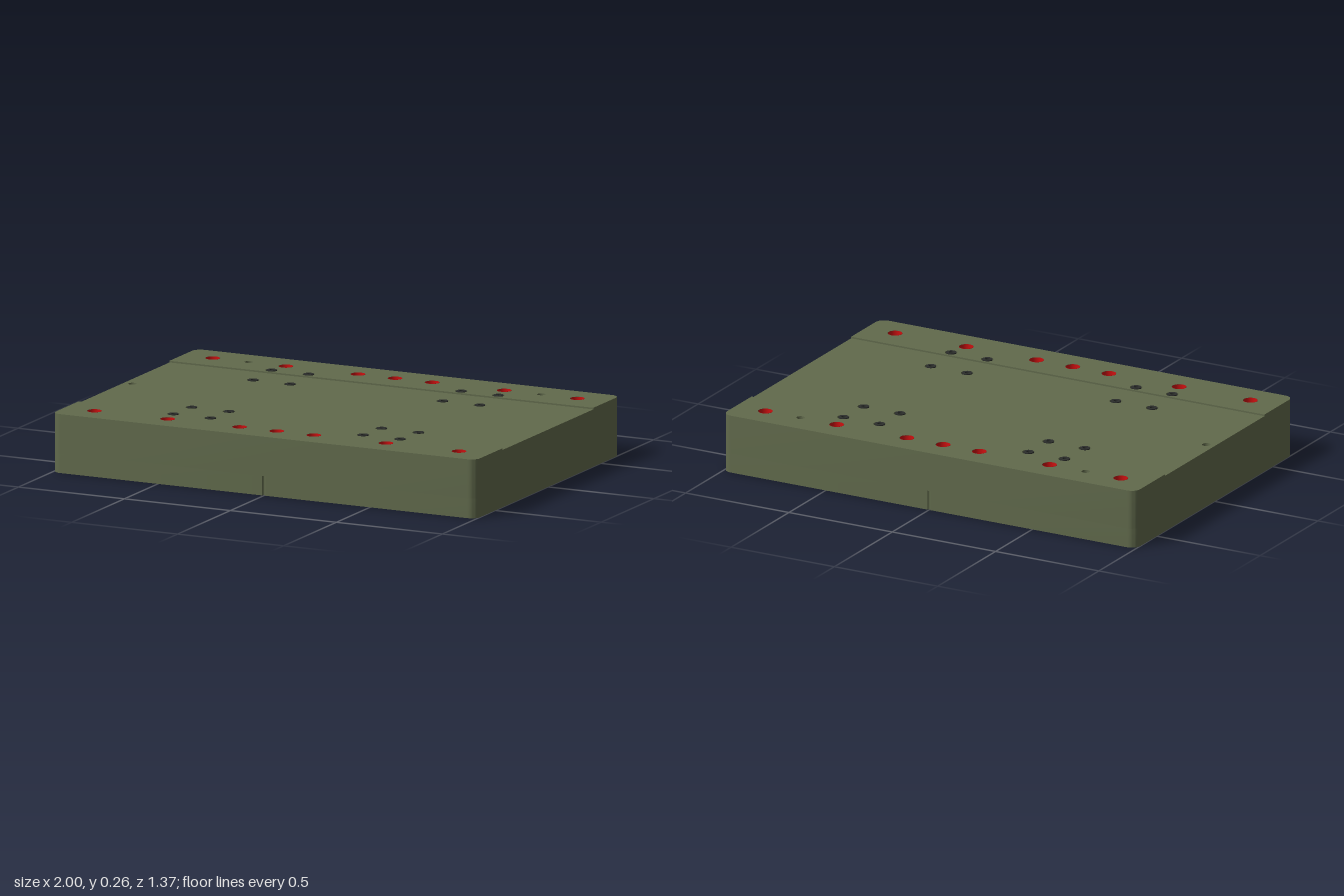
import * as THREE from 'three';
import { toCreasedNormals } from 'three/addons/utils/BufferGeometryUtils.js';

const W = 1, D = 0.683, STEP = 0.43;       // half width, half depth, start of raised bands
const HIGH = 0.255, LOW = 0.248;           // band height, middle height
const CORNER = 0.04, GROOVE = 0.008, GROOVE_TOP = 0.085;

const paint = (color) => new THREE.MeshStandardMaterial({ color, side: THREE.DoubleSide });

export function createModel() {
  const group = new THREE.Group();
  const green = paint(0x616a4c), red = paint(0xd01010), dark = paint(0x2b2d2b);

  function add(name, geometry, material, x = 0, y = 0, z = 0) {
    const mesh = new THREE.Mesh(geometry, material);
    mesh.name = name;
    mesh.position.set(x, y, z);
    group.add(mesh);
    return mesh;
  }

  // Vertical wall following a floor path of [x, z] points
  function wall(name, path, y0, y1) {
    const pos = [];
    for (let i = 0; i + 1 < path.length; i++) {
      const [ax, az] = path[i], [bx, bz] = path[i + 1];
      pos.push(ax, y0, az, bx, y0, bz, bx, y1, bz);
      pos.push(ax, y0, az, bx, y1, bz, ax, y1, az);
    }
    const g = new THREE.BufferGeometry();
    g.setAttribute('position', new THREE.Float32BufferAttribute(pos, 3));
    add(name, toCreasedNormals(g, 0.5), green);
  }

  // Horizontal sheet with round holes { x, z, r }
  function sheet(name, path, y, holes) {
    const shape = new THREE.Shape(path.map(([x, z]) => new THREE.Vector2(x, -z)));
    for (const h of holes) {
      shape.holes.push(new THREE.Path().absarc(h.x, -h.z, h.r, 0, Math.PI * 2, true));
    }
    add(name, new THREE.ShapeGeometry(shape, 16).rotateX(-Math.PI / 2), green, 0, y, 0);
  }

  // Open tube hanging down from height top
  function tube(name, material, { x, z }, r, top, length) {
    add(name, new THREE.CylinderGeometry(r, r, length, 32, 1, true), material, x, top - length / 2, z);
  }

  // Dark ring insert standing in a wider round hole
  function insert(hole, top) {
    const profile = [[0.01, -0.04], [0.022, -0.04], [0.022, 0.002], [0.01, 0.002], [0.01, -0.04]]
      .map(([r, y]) => new THREE.Vector2(r, y));
    add('ringInsert', toCreasedNormals(new THREE.LatheGeometry(profile, 24), 0.6), dark, hole.x, top, hole.z);
    tube('insertSleeve', green, hole, hole.r, top, 0.04);
  }

  // Outline of one end, with or without the little groove in the middle of its face
  function endPath(s, grooved) {
    const path = [[-W, STEP]];
    for (let i = 0; i <= 8; i++) {
      const a = Math.PI - (i / 8) * Math.PI / 2;
      path.push([-W + CORNER + Math.cos(a) * CORNER, D - CORNER + Math.sin(a) * CORNER]);
    }
    if (grooved) {
      for (let i = 0; i <= 8; i++) {
        const a = Math.PI + (i / 8) * Math.PI;
        path.push([Math.cos(a) * GROOVE, D + Math.sin(a) * GROOVE]);
      }
    }
    for (let i = 0; i <= 8; i++) {
      const a = Math.PI / 2 - (i / 8) * Math.PI / 2;
      path.push([W - CORNER + Math.cos(a) * CORNER, D - CORNER + Math.sin(a) * CORNER]);
    }
    path.push([W, STEP]);
    const placed = path.map(([x, z]) => [x, z * s]);
    return s > 0 ? placed : placed.reverse();
  }

  const boltXs = [-0.86, -0.515, -0.175, 0, 0.175, 0.515, 0.86];
  const insertXs = [-0.535, -0.36, 0.36, 0.535];
  const middleInserts = [];

  for (const s of [1, -1]) {
    // Walls and raised band of this end
    const end = s > 0 ? 'front' : 'back';
    wall(end + 'LowerWall', endPath(s, true), 0, GROOVE_TOP);
    wall(end + 'UpperWall', endPath(s, false), GROOVE_TOP, HIGH);
    wall(end + 'Step', [[s * W, s * STEP], [-s * W, s * STEP]], LOW, HIGH);
    const cap = add(end + 'GrooveTop', new THREE.CircleGeometry(GROOVE, 12, 0, Math.PI), green, 0, GROOVE_TOP, s * D);
    cap.rotation.x = s > 0 ? -Math.PI / 2 : Math.PI / 2;

    const bolts = boltXs.map((x) => ({ x, z: s * 0.56, r: 0.032 }));
    const inserts = insertXs.map((x) => ({ x, z: s * 0.465, r: 0.027 }));
    const pins = s < 0 ? [-0.69, 0.69].map((x) => ({ x, z: -0.56, r: 0.018 })) : [];
    sheet(end + 'Band', endPath(s, false), HIGH, [...bolts, ...inserts, ...pins]);

    // Bolt holes with a red lining
    for (const b of bolts) {
      tube('boltHole', green, b, b.r, HIGH, 0.1);
      tube('boltLining', red, b, b.r - 0.0015, HIGH, 0.1);
    }
    for (const p of pins) tube('pinHole', green, p, p.r, HIGH, 0.13);
    for (const i of inserts) insert(i, HIGH);
    middleInserts.push(...insertXs.map((x) => ({ x, z: s * 0.29, r: 0.027 })));

    // Low side wall between the bands
    wall(s > 0 ? 'leftWall' : 'rightWall', [[s * W, s * STEP], [s * W, -s * STEP]], 0, LOW);
  }

  // Sunken middle of the top
  const sidePin = { x: -0.96, z: 0, r: 0.018 };
  sheet('middleTop', [[-W, STEP], [W, STEP], [W, -STEP], [-W, -STEP]], LOW, [...middleInserts, sidePin]);
  tube('sidePinHole', green, sidePin, sidePin.r, LOW, 0.13);
  for (const i of middleInserts) insert(i, LOW);

  return group;
}
